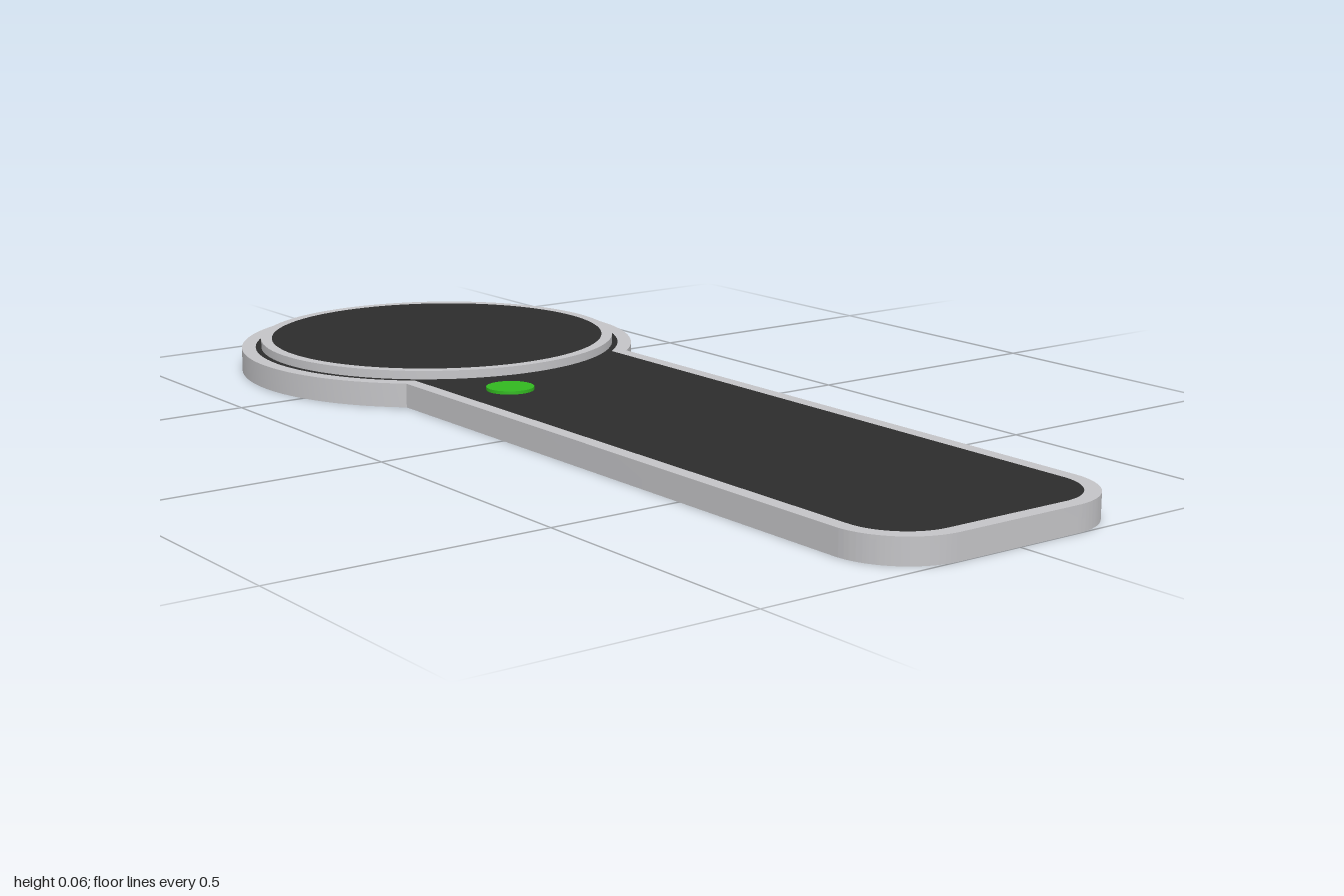
import * as THREE from 'three';
import { toCreasedNormals } from 'three/addons/utils/BufferGeometryUtils.js';

const HEAD_X = -0.613;
const BODY_HEIGHT = 0.045;

// Round head merged with a rounded handle
function paddleOutline(headRadius, halfWidth, endX, corner) {
  const a = Math.asin(halfWidth / headRadius);
  const s = new THREE.Shape();
  s.absarc(HEAD_X, 0, headRadius, a, Math.PI * 2 - a, false);
  s.absarc(endX - corner, -halfWidth + corner, corner, -Math.PI / 2, 0, false);
  s.absarc(endX - corner, halfWidth - corner, corner, 0, Math.PI / 2, false);
  s.closePath();
  return s;
}

function circle(radius) {
  return new THREE.Shape().absarc(HEAD_X, 0, radius, 0, Math.PI * 2, false);
}

// Upright slab with smooth curved walls and sharp rims
function slab(name, shape, hole, bottom, height, material) {
  if (hole) shape.holes.push(hole);
  const flat = new THREE.ExtrudeGeometry(shape, { depth: height, bevelEnabled: false, curveSegments: 48 });
  const geometry = toCreasedNormals(flat, 0.5);
  geometry.rotateX(-Math.PI / 2);
  geometry.translate(0, bottom, 0);
  const mesh = new THREE.Mesh(geometry, material);
  mesh.name = name;
  return mesh;
}

export function createModel() {
  const silver = new THREE.MeshStandardMaterial({ color: 0xc4c4c7 });
  silver.name = 'silver';
  const black = new THREE.MeshStandardMaterial({ color: 0x2c2c2c });
  black.name = 'black';
  const green = new THREE.MeshStandardMaterial({ color: 0x32b820 });
  green.name = 'green';

  const group = new THREE.Group();
  group.name = 'paddle';
  const outer = () => paddleOutline(0.387, 0.253, 1, 0.13);
  const inner = () => paddleOutline(0.36, 0.226, 0.973, 0.103);

  // Body: rim around a dark core, visible from above and below
  group.add(slab('bodyRim', outer(), inner(), 0, BODY_HEIGHT, silver));
  group.add(slab('bodyPanel', inner(), null, 0, BODY_HEIGHT, black));

  // Raised round plate on the head
  group.add(slab('headRing', circle(0.349), circle(0.328), BODY_HEIGHT, 0.016, silver));
  group.add(slab('headDisc', circle(0.328), null, BODY_HEIGHT, 0.016, black));

  // Button beside the head
  const button = new THREE.Mesh(new THREE.CylinderGeometry(0.044, 0.044, 0.006, 32), green);
  button.name = 'button';
  button.position.set(-0.167, BODY_HEIGHT + 0.003, 0.125);
  group.add(button);

  return group;
}
